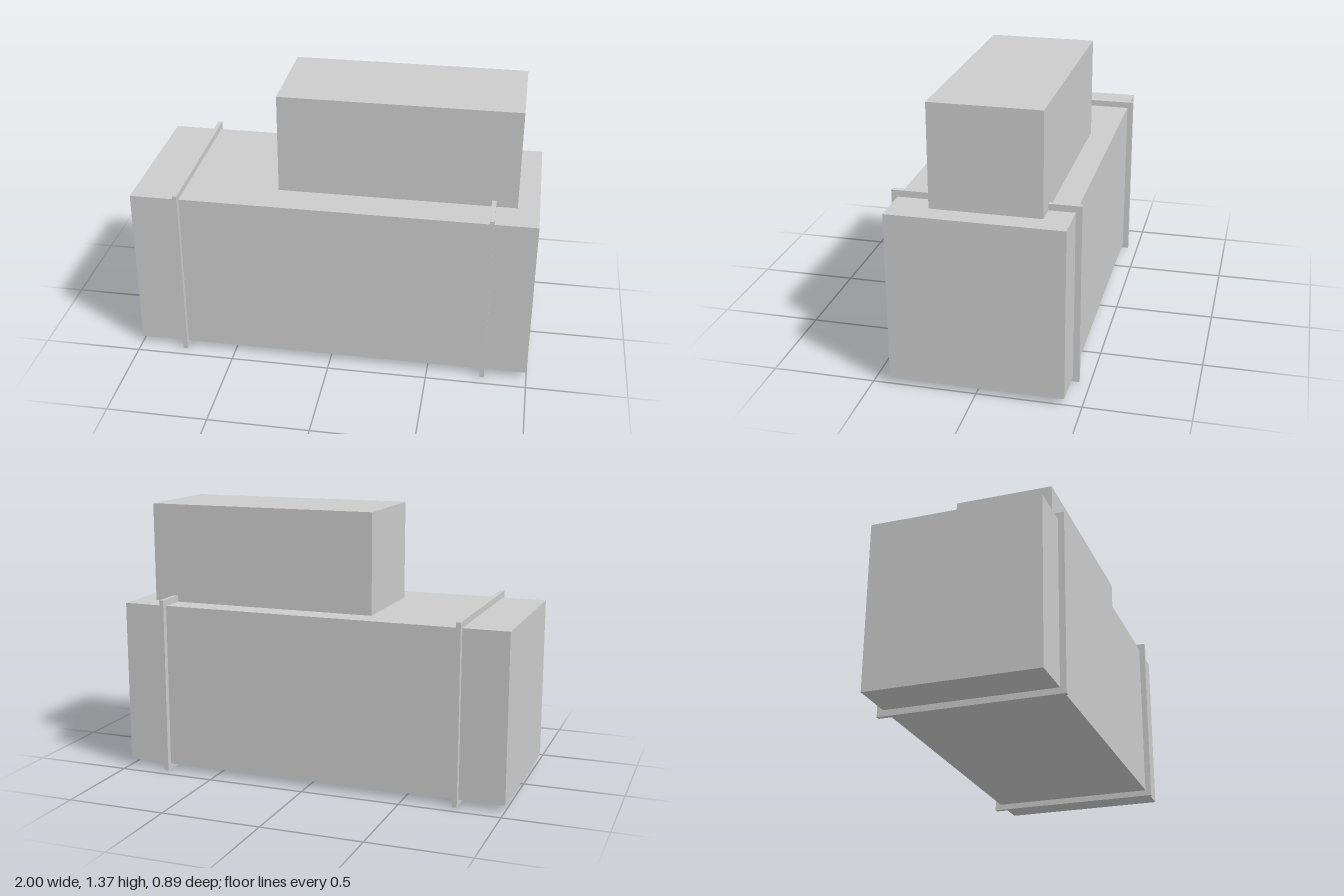
import * as THREE from 'three';

const material = new THREE.MeshStandardMaterial({ color: 0xcccccc, flatShading: true });

// Box given by its minimum and maximum corners
function box(name, min, max) {
  const size = max.map((v, i) => v - min[i]);
  const mesh = new THREE.Mesh(new THREE.BoxGeometry(...size), material);
  mesh.position.set(...max.map((v, i) => (v + min[i]) / 2));
  mesh.name = name;
  return mesh;
}

export function createModel() {
  const group = new THREE.Group();
  group.name = 'bandedBox';

  // Long main body, held just off the ground by the bands
  group.add(box('body', [-1, 0.03, -0.417], [1, 0.865, 0.417]));

  // Smaller block on top, set towards the left and slightly back
  group.add(box('upperBlock', [-0.288, 0.865, -0.292], [0.893, 1.367, 0.236]));

  // Thin bands wrapping all four sides of the body
  for (const [name, x] of [['rightBand', -0.763], ['leftBand', 0.779]]) {
    group.add(box(name, [x - 0.011, 0, -0.447], [x + 0.011, 0.897, 0.447]));
  }
  return group;
}
